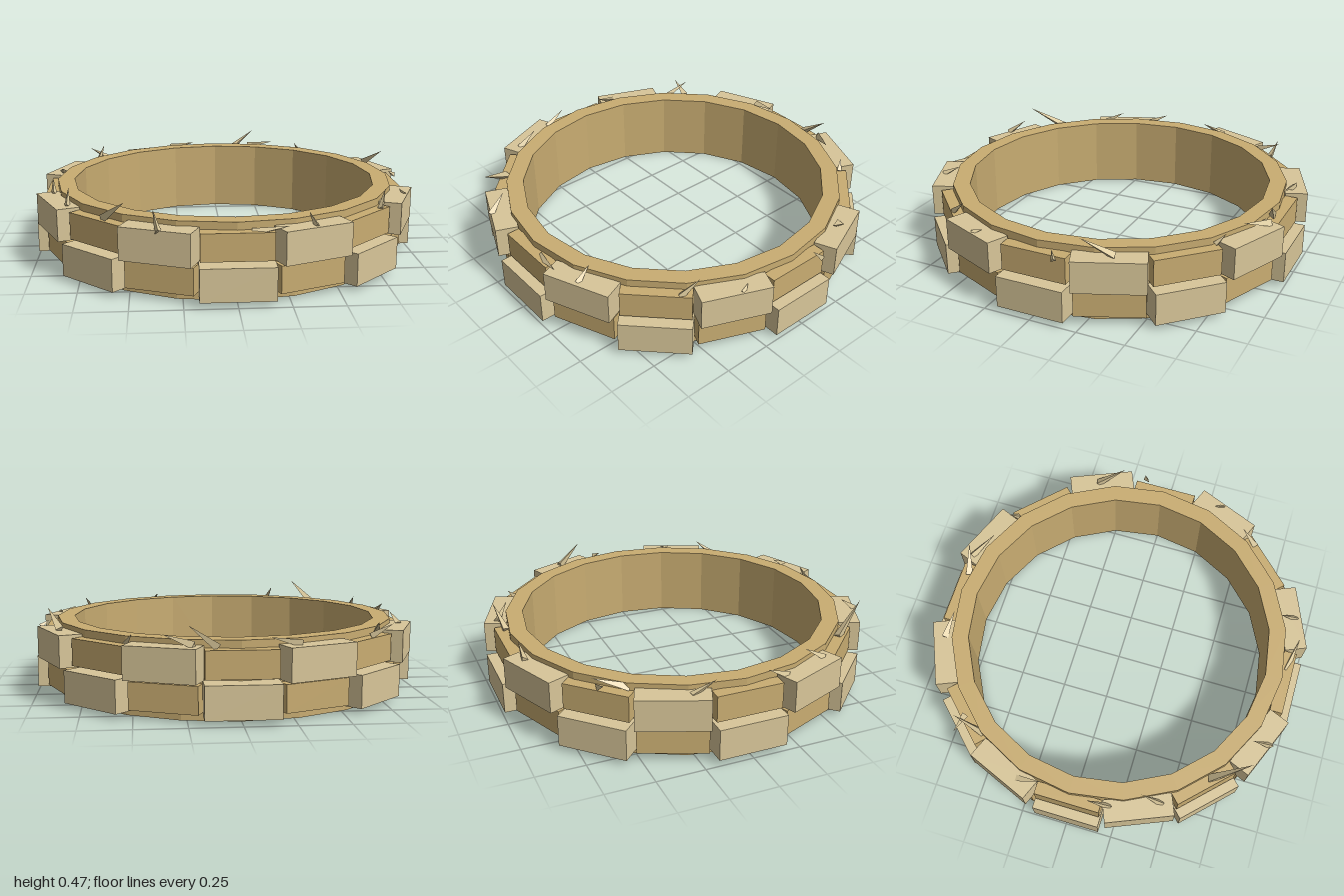
import * as THREE from 'three';

const mat = (color) => new THREE.MeshStandardMaterial({ color, flatShading: true });

export function createModel() {
  const model = new THREE.Group();
  const sand = mat(0xc9ad72);
  const pale = mat(0xd8c699);
  const add = (name, geometry, material, parent = model) => {
    const mesh = new THREE.Mesh(geometry, material);
    mesh.name = name;
    parent.add(mesh);
    return mesh;
  };

  // Twenty-sided wall ring with a square section
  const section = [[0.81, 0], [0.9, 0], [0.9, 0.38], [0.81, 0.38], [0.81, 0]];
  add('wallRing', new THREE.LatheGeometry(section.map(([r, y]) => new THREE.Vector2(r, y)), 20), sand);

  // Two courses of sixteen stones, proud and recessed in a checker
  const inner = 0.88;
  const courses = [
    { name: 'lowerStones', y: 0.11, parity: 0 },
    { name: 'upperStones', y: 0.274, parity: 1 },
  ];
  for (const { name, y, parity } of courses) {
    const course = new THREE.Group();
    course.name = name;
    model.add(course);
    for (let i = 0; i < 16; i++) {
      const proud = i % 2 === parity;
      const outer = proud ? 0.997 : 0.947;
      const stone = new THREE.BoxGeometry(proud ? 0.357 : 0.345, proud ? 0.163 : 0.136, outer - inner);
      stone.translate(0, y, (inner + outer) / 2);
      add(proud ? 'proudStone' : 'recessedStone', stone, proud ? pale : sand, course)
        .rotation.y = i * Math.PI / 8;
    }
  }

  // Slim splinters on the stones: base x, y, z then tip x, y, z
  const splinters = [
    [-0.62, 0.34, 0.67, -0.515, 0.47, 0.86],
    [0.07, 0.33, 0.91, 0.24, 0.37, 0.94],
    [0.11, 0.35, -0.9, 0.245, 0.455, -0.93],
    [0.86, 0.36, -0.38, 0.93, 0.455, -0.24],
    [0.22, 0.36, -0.92, 0.36, 0.4, -0.83],
    [-0.28, 0.36, -0.9, -0.13, 0.39, -0.89],
    [-0.66, 0.35, -0.65, -0.77, 0.41, -0.66],
    [-0.72, 0.35, -0.52, -0.69, 0.42, -0.69],
    [-0.9, 0.35, -0.28, -0.89, 0.4, -0.15],
    [-0.9, 0.35, 0.22, -0.915, 0.41, 0.1],
    [-0.81, 0.35, 0.47, -0.81, 0.42, 0.36],
    [-0.36, 0.35, 0.93, -0.385, 0.43, 0.83],
    [0.37, 0.35, 0.9, 0.345, 0.4, 0.81],
    [0.74, 0.34, 0.58, 0.78, 0.42, 0.49],
    [0.92, 0.35, 0.35, 0.9, 0.37, 0.3],
    [0.98, 0.34, -0.13, 0.94, 0.37, -0.1],
    [0.53, 0.35, -0.75, 0.5, 0.4, -0.79],
  ];
  const up = new THREE.Vector3(0, 1, 0);
  for (const [bx, by, bz, tx, ty, tz] of splinters) {
    const base = new THREE.Vector3(bx, by, bz);
    const axis = new THREE.Vector3(tx, ty, tz).sub(base);
    const length = axis.length();
    const cone = new THREE.ConeGeometry(0.012 + length * 0.06, length, 3);
    cone.translate(0, length / 2, 0);
    const splinter = add('splinter', cone, pale);
    splinter.position.copy(base);
    splinter.quaternion.setFromUnitVectors(up, axis.normalize());
  }
  return model;
}
